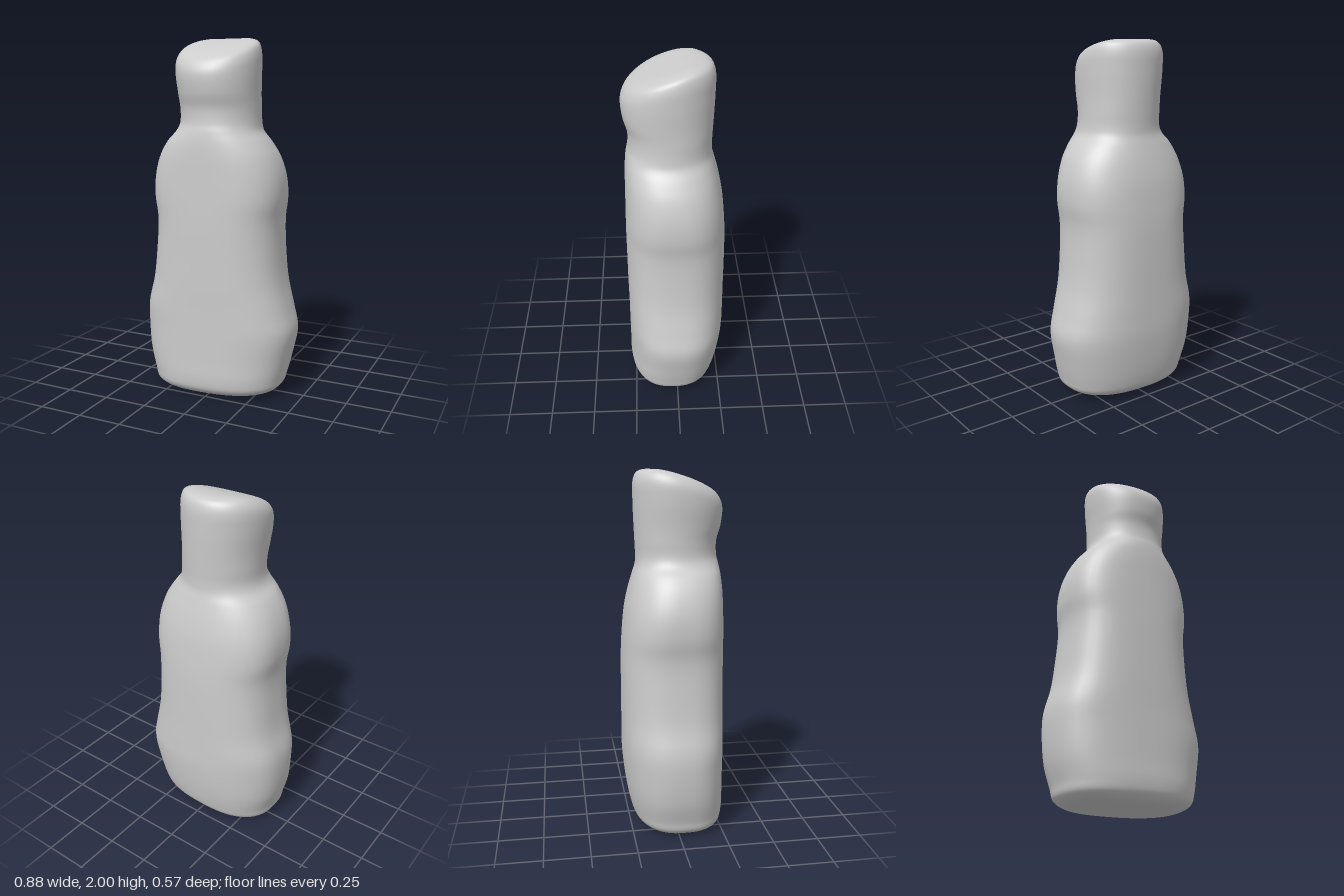
import * as THREE from 'three';

// Cross-sections from bottom to top: y, left edge, right edge, back, front, corner squareness
const SECTIONS = [
  [0.005, -0.02, 0.0, 0.02, 0.04, 2.3],
  [0.005, -0.2, 0.2, -0.11, 0.15, 2.3],
  [0.012, -0.33, 0.32, -0.18, 0.23, 2.4],
  [0.045, -0.378, 0.37, -0.22, 0.268, 2.5],
  [0.1, -0.392, 0.388, -0.24, 0.28, 2.5],
  [0.22, -0.425, 0.415, -0.262, 0.28, 2.5],
  [0.38, -0.44, 0.44, -0.278, 0.28, 2.5],
  [0.5, -0.434, 0.412, -0.28, 0.28, 2.6],
  [0.65, -0.395, 0.375, -0.28, 0.282, 2.6],
  [0.8, -0.375, 0.357, -0.28, 0.282, 2.6],
  [1.0, -0.362, 0.35, -0.277, 0.282, 2.6],
  [1.13, -0.38, 0.366, -0.268, 0.28, 2.6],
  [1.25, -0.375, 0.36, -0.255, 0.278, 2.5],
  [1.36, -0.342, 0.328, -0.232, 0.276, 2.4],
  [1.44, -0.295, 0.28, -0.21, 0.272, 2.3],
  [1.495, -0.243, 0.237, -0.195, 0.265, 2.2],
  [1.54, -0.226, 0.226, -0.193, 0.256, 2.1],
  [1.62, -0.225, 0.221, -0.196, 0.255, 2.1],
  [1.7, -0.23, 0.22, -0.2, 0.277, 2.1],
  [1.84, -0.243, 0.222, -0.205, 0.285, 2.1],
  [1.94, -0.24, 0.217, -0.203, 0.275, 2.1],
  [1.982, -0.215, 0.2, -0.185, 0.25, 2.1],
  [1.998, -0.17, 0.155, -0.15, 0.2, 2.1],
  [2.0, -0.08, 0.07, -0.06, 0.1, 2.0],
  [2.0, -0.015, 0.0, 0.015, 0.025, 2.0],
];
const SIDES = 56;
const ROWS = 120;

// One point on a rounded-box-like outline, squarer at the front left edge as worn by weather
function outlinePoint([y, x0, x1, z0, z1, n], angle) {
  const c = Math.cos(angle), s = Math.sin(angle);
  const power = n + (s > 0 && c < 0 ? 0.35 : 0) * Math.min(1, Math.max(0, (1.55 - y) * 5));
  const r = Math.pow(Math.pow(Math.abs(c), power) + Math.pow(Math.abs(s), power), -1 / power);
  const x = (x0 + x1) / 2 + r * c * (x1 - x0) / 2;
  const z = (z0 + z1) / 2 + r * s * (z1 - z0) / 2;
  // The top falls away towards the front; the foot lifts slightly to one side
  const top = THREE.MathUtils.smoothstep(y, 1.72, 2);
  const drop = 0.12 * Math.pow(Math.max(0, (z + 0.1) / 0.37), 1.4) * top;
  const lift = 0.032 * Math.max(0, x + 0.2) * Math.max(0, 1 - y / 0.4);
  return new THREE.Vector3(x, y - drop + lift, z);
}

// Skin smooth vertical curves, one per angle, into a closed surface
function loftGeometry() {
  const positions = [], indices = [];
  for (let j = 0; j < SIDES; j++) {
    const angle = (j / SIDES) * Math.PI * 2;
    const curve = new THREE.CatmullRomCurve3(SECTIONS.map((s) => outlinePoint(s, angle)));
    for (const p of curve.getPoints(ROWS)) positions.push(p.x, p.y, p.z);
  }
  const id = (i, j) => (j % SIDES) * (ROWS + 1) + i;
  for (let j = 0; j < SIDES; j++) {
    for (let i = 0; i < ROWS; i++) {
      const a = id(i, j), b = id(i + 1, j), c = id(i + 1, j + 1), d = id(i, j + 1);
      indices.push(a, b, d, b, c, d);
    }
  }
  // Close the small end rings
  for (let j = 1; j < SIDES - 1; j++) {
    indices.push(id(0, 0), id(0, j), id(0, j + 1));
    indices.push(id(ROWS, 0), id(ROWS, j + 1), id(ROWS, j));
  }
  const geometry = new THREE.BufferGeometry();
  geometry.setAttribute('position', new THREE.Float32BufferAttribute(positions, 3));
  geometry.setIndex(indices);
  geometry.computeVertexNormals();
  return geometry;
}

export function createModel() {
  const group = new THREE.Group();
  group.name = 'stoneBottle';
  // Body, shoulders and neck in one worn piece
  const body = new THREE.Mesh(loftGeometry(), new THREE.MeshStandardMaterial({ color: 0xcccccc }));
  body.name = 'bottleBody';
  group.add(body);
  return group;
}
